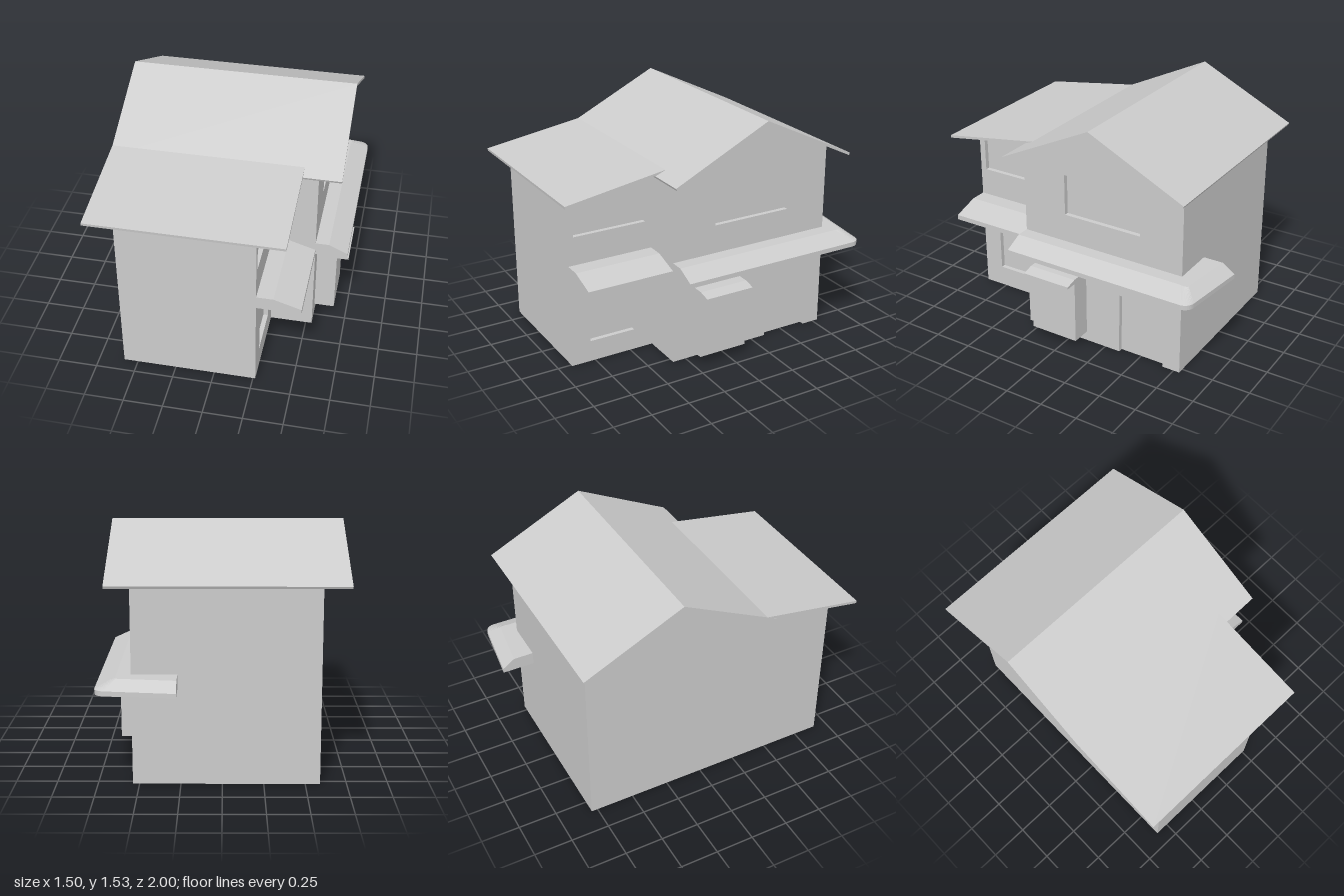
import * as THREE from 'three';

const material = new THREE.MeshStandardMaterial({ color: 0xcccccc });

function add(group, name, geometry) {
  const mesh = new THREE.Mesh(geometry, material);
  mesh.name = name;
  group.add(mesh);
}

const toShape = (points) => new THREE.Shape(points.map(([a, b]) => new THREE.Vector2(a, b)));

// Extrudes a side profile of [z, y] points from x0 to x1, with rectangular holes [z0, z1, y0, y1].
function sideExtrude(points, x0, x1, holes = []) {
  const shape = toShape(points);
  for (const [z0, z1, y0, y1] of holes) {
    shape.holes.push(new THREE.Path([[z0, y0], [z0, y1], [z1, y1], [z1, y0]].map(([a, b]) => new THREE.Vector2(a, b))));
  }
  return new THREE.ExtrudeGeometry(shape, { depth: x1 - x0, bevelEnabled: false })
    .rotateY(-Math.PI / 2).translate(x1, 0, 0);
}

// Extrudes a front profile of [x, y] points from z0 to z1.
function frontExtrude(points, z0, z1) {
  return new THREE.ExtrudeGeometry(toShape(points), { depth: z1 - z0, bevelEnabled: false }).translate(0, 0, z0);
}

// Awning that follows the side wall and turns the rear corner, made of five-point cross-sections.
function cornerAwning() {
  const stations = [{ inner: [0.54, 0.34], outer: [0.745, 0.34], ridge: 0.42 }];
  const steps = 8;
  for (let i = 0; i <= steps; i++) {
    const t = i / steps;
    const a = t * (Math.PI / 2 - 0.12);
    stations.push({
      inner: [0.54, -0.79],
      outer: [0.68 + 0.065 * Math.cos(a), -0.885 - 0.065 * Math.sin(a)],
      ridge: 0.42 + 0.12 * t,
    });
  }
  stations.push({ inner: [0.265, -0.79], outer: [0.265, -1], ridge: 0.62 });

  const sections = stations.map(({ inner, outer, ridge }) => {
    const at = (t, y) => [inner[0] + (outer[0] - inner[0]) * t, y, inner[1] + (outer[1] - inner[1]) * t];
    return [at(0, 0.6), at(0, 0.685), at(ridge, 0.685), at(1, 0.63), at(1, 0.6)];
  });
  const positions = [];
  const tri = (a, b, c) => positions.push(...a, ...b, ...c);
  for (let i = 0; i < sections.length - 1; i++) {
    const s = sections[i], n = sections[i + 1];
    for (let j = 0; j < 5; j++) {
      const k = (j + 1) % 5;
      tri(s[j], s[k], n[k]);
      tri(s[j], n[k], n[j]);
    }
  }
  const first = sections[0], last = sections[sections.length - 1];
  for (let j = 1; j < 4; j++) {
    tri(first[0], first[j + 1], first[j]);
    tri(last[0], last[j], last[j + 1]);
  }
  const geometry = new THREE.BufferGeometry();
  geometry.setAttribute('position', new THREE.Float32BufferAttribute(positions, 3));
  geometry.computeVertexNormals();
  return geometry;
}

export function createModel() {
  const house = new THREE.Group();
  house.name = 'house';
  const recess = 0.03;

  // Gabled main block: solid core plus an outer wall layer with door notch and window opening
  const gable = [[0.34, 0], [0.34, 1.242], [-0.23, 1.518], [-0.79, 1.247], [-0.79, 0]];
  const doorNotch = [[-0.67, 0], [-0.67, 0.415], [-0.355, 0.415], [-0.355, 0]];
  add(house, 'mainBlock', sideExtrude(gable, -0.59, 0.54 - recess));
  add(house, 'mainSideWall', sideExtrude([...gable, ...doorNotch], 0.54 - recess, 0.54, [[-0.5, 0.04, 0.87, 1.14]]));

  // Narrower front block with two recessed windows
  const wing = [[0.91, 0], [0.91, 1.14], [0.34, 1.235], [0.34, 0]];
  add(house, 'frontBlock', sideExtrude(wing, -0.59, 0.265 - recess));
  add(house, 'frontSideWall', sideExtrude(wing, 0.265 - recess, 0.265, [
    [0.38, 0.87, 0.87, 1.14],
    [0.47, 0.78, 0.14, 0.53],
  ]));

  // Roofs
  add(house, 'mainRoof', sideExtrude([
    [0.404, 1.228], [-0.23, 1.535], [-0.864, 1.228], [-0.857, 1.213], [-0.23, 1.518], [0.397, 1.213],
  ], -0.75, 0.685));
  add(house, 'frontRoof', sideExtrude([
    [0.335, 1.26], [1, 1.156], [0.998, 1.139], [0.4, 1.234],
  ], -0.75, 0.45));

  // Awnings
  add(house, 'frontAwning', frontExtrude([
    [0.265, 0.6], [0.54, 0.6], [0.54, 0.632], [0.37, 0.685], [0.265, 0.685],
  ], 0.34, 0.91));
  add(house, 'cornerAwning', cornerAwning());

  // Bay with its small hood
  add(house, 'bay', new THREE.BoxGeometry(0.13, 0.42, 0.33).translate(0.605, 0.275, 0.055));
  add(house, 'bayHood', frontExtrude([
    [0.54, 0.485], [0.745, 0.485], [0.745, 0.498], [0.67, 0.515], [0.54, 0.515],
  ], -0.11, 0.22));

  return house;
}
